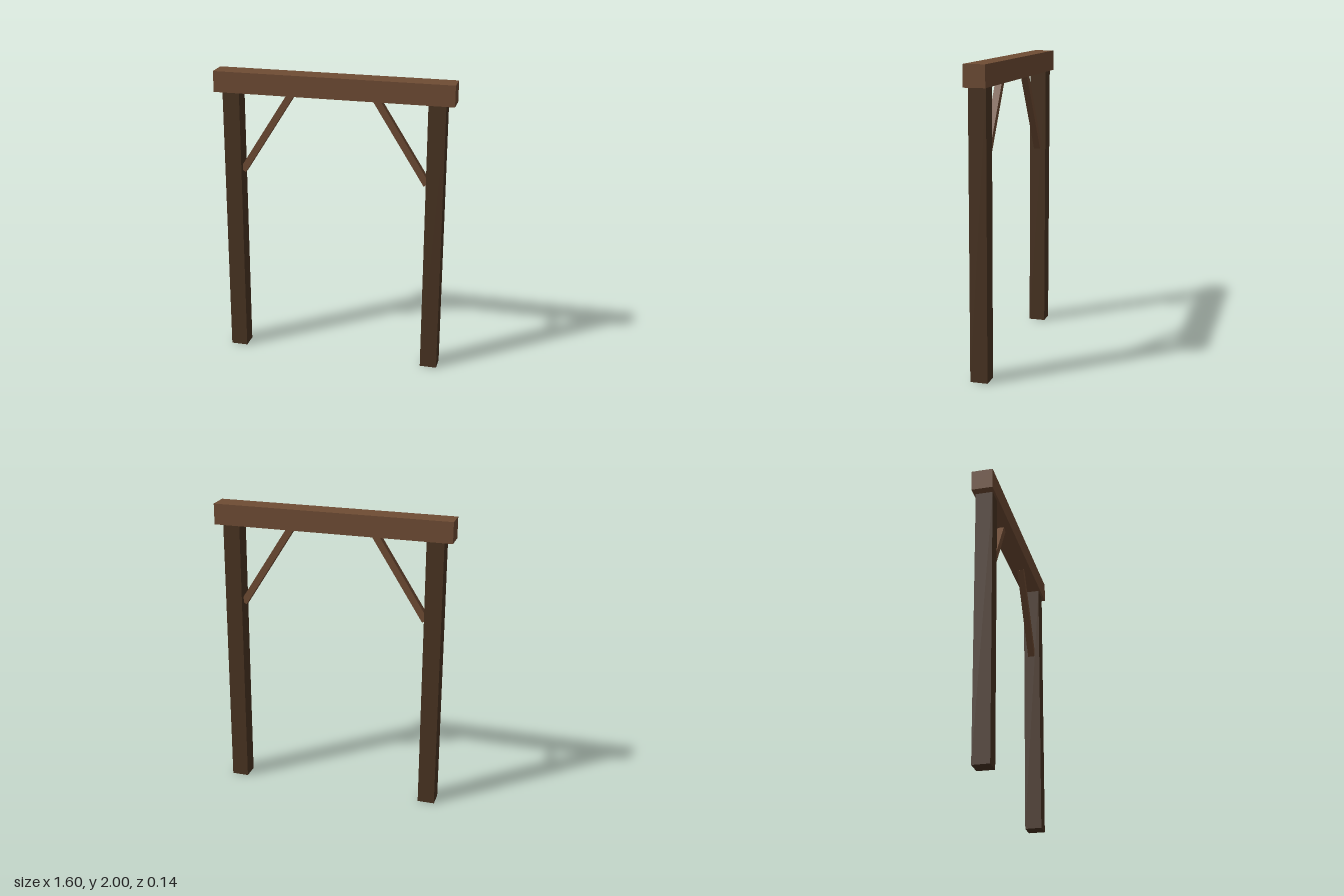
import * as THREE from 'three';

export function createModel() {
  const model = new THREE.Group();
  model.name = 'timberFrame';

  const lightWood = new THREE.MeshStandardMaterial({ color: 0x6f4c34 });
  lightWood.name = 'lightWood';
  const darkWood = new THREE.MeshStandardMaterial({ color: 0x4a3422 });
  darkWood.name = 'darkWood';

  function addTimber(name, [w, h, d], [x, y], material, tilt = 0) {
    const timber = new THREE.Mesh(new THREE.BoxGeometry(w, h, d), material);
    timber.name = name;
    timber.position.set(x, y, 0);
    timber.rotation.z = tilt;
    model.add(timber);
  }

  // Top beam
  const beamHeight = 0.14;
  addTimber('beam', [1.6, beamHeight, 0.142], [0, 2 - beamHeight / 2], lightWood);

  // Mirrored posts and diagonal braces
  const postHeight = 2 - beamHeight;
  for (const [side, s] of [['left', 1], ['right', -1]]) {
    addTimber(`${side}Post`, [0.114, postHeight, 0.114], [s * 0.687, postHeight / 2], darkWood);
    addTimber(`${side}Brace`, [0.045, 0.644, 0.045], [s * 0.458, 1.587], lightWood, s * 0.563);
  }

  return model;
}
